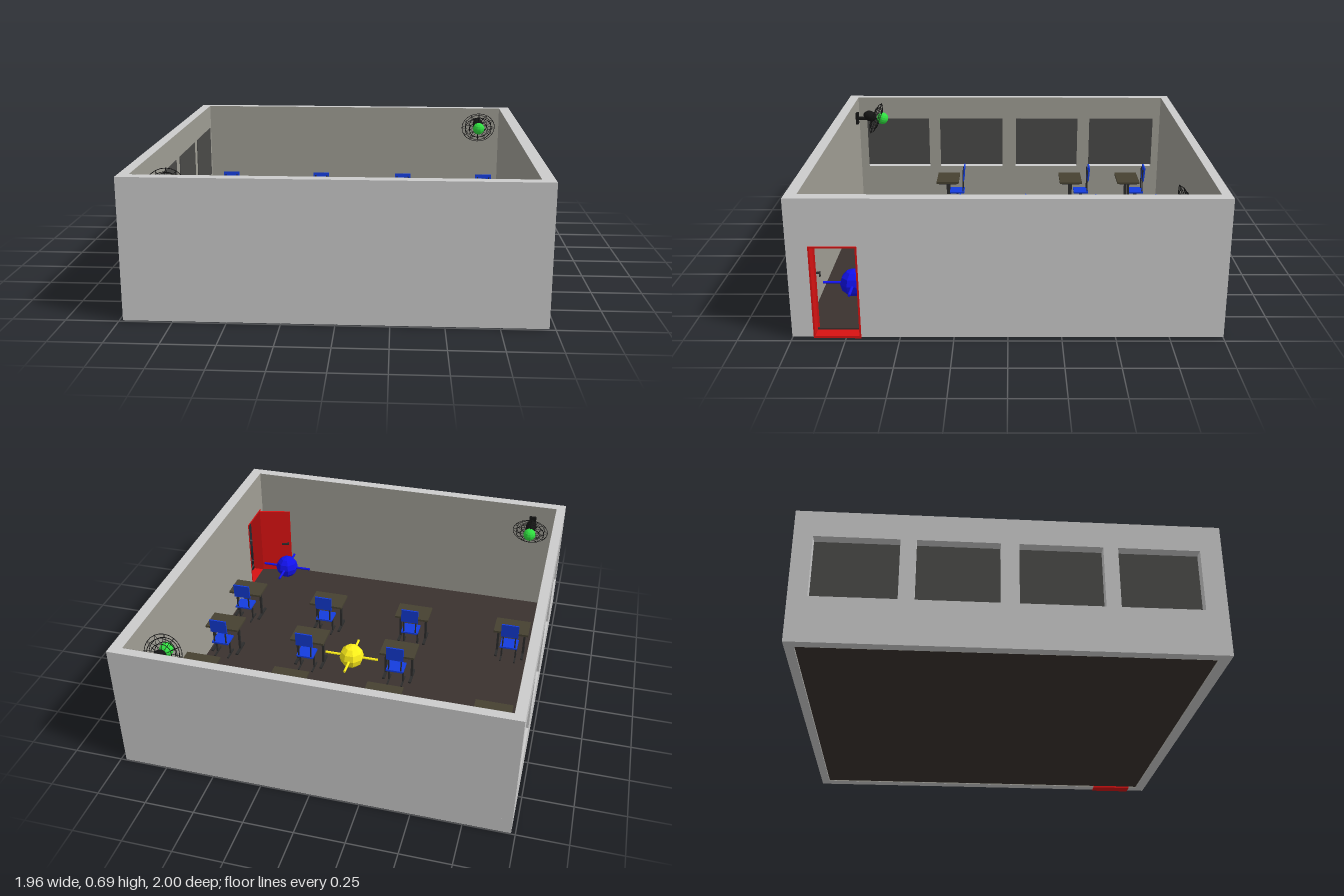
import * as THREE from 'three';

const mat = (color, extra = {}) => new THREE.MeshStandardMaterial({ color, ...extra });
const M = {
  wall: mat(0xcccccc),
  lining: mat(0xa09e95, { side: THREE.DoubleSide }),
  floor: mat(0x3a322f),
  glass: mat(0x4a4a48),
  red: mat(0xd81212),
  desk: mat(0x464131),
  metal: mat(0x2c2c2c),
  chair: mat(0x143dde),
  yellow: mat(0xfff01a, { flatShading: true }),
  blue: mat(0x1212ee, { flatShading: true }),
  green: mat(0x30e040, { flatShading: true }),
  black: mat(0x141414),
};

function add(parent, name, geometry, material, x = 0, y = 0, z = 0) {
  const mesh = new THREE.Mesh(geometry, material);
  mesh.name = name;
  mesh.position.set(x, y, z);
  parent.add(mesh);
  return mesh;
}
const box = (parent, name, material, w, h, d, x, y, z) =>
  add(parent, name, new THREE.BoxGeometry(w, h, d), material, x, y, z);

const X0 = -0.98, X1 = 0.97, IN_X0 = -0.93, IN_X1 = 0.91, IN_Z0 = -0.955, IN_Z1 = 0.945;
const BASE = 0.005, TOP = 0.685, H = TOP - BASE;
const WINDOWS = [[-0.91, -0.51], [-0.435, -0.045], [0.04, 0.435], [0.505, 0.895]];
const DOOR = { z0: 0.68, z1: 0.9, top: 0.455 };

function rectangle(Type, a, b, c, d) {
  const s = new Type();
  s.moveTo(a, c);
  s.lineTo(b, c);
  s.lineTo(b, d);
  s.lineTo(a, d);
  s.closePath();
  return s;
}

// A side wall drawn in the z-y plane, with a coloured inner face
function sideWall(room, name, shape, outerX, innerX, liningX) {
  const depth = Math.abs(outerX - innerX);
  const geometry = new THREE.ExtrudeGeometry(shape, { depth, bevelEnabled: false });
  add(room, name, geometry, M.wall, Math.max(outerX, innerX), 0, 0).rotation.y = -Math.PI / 2;
  add(room, name + 'Lining', new THREE.ShapeGeometry(shape), M.lining, liningX, 0, 0).rotation.y = -Math.PI / 2;
}

function makeRoom() {
  const room = new THREE.Group();
  room.name = 'room';
  const w = IN_X1 - IN_X0, cx = (IN_X1 + IN_X0) / 2, cy = (BASE + TOP) / 2;
  box(room, 'floor', M.floor, w, 0.01, IN_Z1 - IN_Z0, cx, 0.015, (IN_Z0 + IN_Z1) / 2);

  // Plain back and front walls
  for (const [name, outer, inner] of [['backWall', -1, IN_Z0], ['frontWall', 1, IN_Z1]]) {
    box(room, name, M.wall, w, H, Math.abs(outer - inner), cx, cy, (outer + inner) / 2);
    const face = inner - Math.sign(outer) * 0.001;
    add(room, name + 'Lining', new THREE.PlaneGeometry(w, H), M.lining, cx, cy, face);
  }

  // Window wall
  const windowShape = rectangle(THREE.Shape, -1, 1, BASE, TOP);
  for (const [a, b] of WINDOWS) {
    windowShape.holes.push(rectangle(THREE.Path, a, b, 0.235, 0.55));
    box(room, 'windowPane', M.glass, 0.006, 0.3, b - a, IN_X0 + 0.002, 0.4, (a + b) / 2);
  }
  sideWall(room, 'windowWall', windowShape, X0, IN_X0, IN_X0 + 0.001);

  // Door wall, outlined around the doorway
  const doorShape = new THREE.Shape();
  [[-1, BASE], [DOOR.z0, BASE], [DOOR.z0, DOOR.top], [DOOR.z1, DOOR.top], [DOOR.z1, BASE],
    [1, BASE], [1, TOP], [-1, TOP]].forEach(([z, y], i) => (i ? doorShape.lineTo(z, y) : doorShape.moveTo(z, y)));
  sideWall(room, 'doorWall', doorShape, X1, IN_X1, IN_X1 - 0.001);
  return room;
}

function makeDoor() {
  const door = new THREE.Group();
  door.name = 'door';
  // Frame lining the doorway
  const frame = rectangle(THREE.Shape, DOOR.z0, DOOR.z1, 0, DOOR.top + 0.003);
  frame.holes.push(rectangle(THREE.Path, DOOR.z0 + 0.008, DOOR.z1 - 0.008, 0.012, DOOR.top - 0.006));
  const geometry = new THREE.ExtrudeGeometry(frame, { depth: 0.068, bevelEnabled: false });
  add(door, 'doorFrame', geometry, M.red, 0.975, 0, 0).rotation.y = -Math.PI / 2;

  // Leaf swung open into the room
  const leaf = new THREE.Group();
  leaf.name = 'doorLeaf';
  leaf.position.set(IN_X1 - 0.003, 0, 0.888);
  leaf.rotation.y = 0.24;
  box(leaf, 'doorPanel', M.red, 0.19, 0.425, 0.01, -0.095, 0.235, 0);
  box(leaf, 'handleStem', M.metal, 0.008, 0.008, 0.022, -0.172, 0.225, -0.014);
  box(leaf, 'handleLever', M.metal, 0.045, 0.009, 0.008, -0.155, 0.225, -0.025);
  door.add(leaf);
  return door;
}

function makeDesk() {
  const desk = new THREE.Group();
  desk.name = 'desk';
  box(desk, 'deskTop', M.desk, 0.195, 0.012, 0.137, 0, 0.199, 0);
  box(desk, 'crossBar', M.metal, 0.15, 0.01, 0.008, 0, 0.17, 0);
  for (const s of [-1, 1]) {
    box(desk, 'deskLeg', M.metal, 0.012, 0.17, 0.014, s * 0.075, 0.11, 0);
    box(desk, 'deskFoot', M.metal, 0.014, 0.01, 0.12, s * 0.075, 0.026, 0);
    box(desk, 'deskBracket', M.metal, 0.012, 0.008, 0.11, s * 0.075, 0.189, 0);
  }
  return desk;
}

function makeChair() {
  const chair = new THREE.Group();
  chair.name = 'chair';
  box(chair, 'seat', M.chair, 0.098, 0.01, 0.09, 0, 0.12, 0);
  box(chair, 'backrest', M.chair, 0.098, 0.085, 0.008, 0, 0.238, -0.045).rotation.x = -0.08;
  for (const s of [-1, 1]) {
    box(chair, 'chairLeg', M.metal, 0.008, 0.1, 0.01, s * 0.04, 0.07, 0);
    box(chair, 'chairFoot', M.metal, 0.008, 0.008, 0.09, s * 0.04, 0.025, 0);
    box(chair, 'backPost', M.metal, 0.007, 0.15, 0.006, s * 0.035, 0.19, -0.038);
  }
  return chair;
}

// Faceted ball with four straight horizontal arms
function makeBall(name, material) {
  const ball = new THREE.Group();
  ball.name = name;
  add(ball, 'ballBody', new THREE.SphereGeometry(0.068, 8, 6), material).rotation.y = Math.PI / 8;
  for (const turn of [0, Math.PI / 2]) {
    const bar = add(ball, 'armBar', new THREE.CylinderGeometry(0.007, 0.007, 0.3, 8), material);
    bar.rotation.set(Math.PI / 2, 0, turn);
  }
  return ball;
}

// Wall fan facing +z: mount, motor, wire cage and hub, tilted downwards
function makeFan() {
  const fan = new THREE.Group();
  fan.name = 'wallFan';
  box(fan, 'wallMount', M.black, 0.04, 0.07, 0.015, 0, 0, -0.117);
  add(fan, 'mountArm', new THREE.CylinderGeometry(0.012, 0.012, 0.06, 8), M.black, 0, 0, -0.085).rotation.x = Math.PI / 2;
  const head = new THREE.Group();
  head.name = 'fanHead';
  head.rotation.x = 0.38;
  fan.add(head);
  add(head, 'motor', new THREE.SphereGeometry(0.032, 12, 8), M.black, 0, 0, -0.04).scale.z = 1.3;
  for (const [r, z] of [[0.1, 0], [0.08, 0.014], [0.08, -0.014], [0.055, 0.022], [0.055, -0.022]]) {
    add(head, 'cageRing', new THREE.TorusGeometry(r, 0.0018, 4, 24), M.black, 0, 0, z);
  }
  for (let i = 0; i < 12; i++) {
    const a = (i / 12) * Math.PI * 2, c = Math.cos(a), s = Math.sin(a);
    const points = [[0.02, 0.026], [0.08, 0.014], [0.1, 0], [0.08, -0.014], [0.02, -0.026]]
      .map(([r, z]) => new THREE.Vector3(r * c, r * s, z));
    add(head, 'cageWire', new THREE.TubeGeometry(new THREE.CatmullRomCurve3(points), 10, 0.0013, 4), M.black);
  }
  add(head, 'hub', new THREE.SphereGeometry(0.036, 10, 8), M.green, 0, 0.015, 0.036);
  return fan;
}

export function createModel() {
  const model = new THREE.Group();
  model.name = 'classroom';
  model.add(makeRoom(), makeDoor());

  // Desks with chairs; one place in the third row stays empty
  const rows = [[-0.745, -0.8], [-0.387, -0.455], [0.008, -0.05], [0.38, 0.325]];
  rows.forEach(([deskZ, chairZ], row) => {
    [-0.788, -0.212, 0.305, 0.812].forEach((x, column) => {
      if (row === 2 && column === 0) return;
      const desk = makeDesk(), chair = makeChair();
      desk.position.set(x, 0, deskZ);
      chair.position.set(x + 0.003, 0, chairZ);
      model.add(desk, chair);
    });
  });

  const yellowBall = makeBall('yellowBall', M.yellow);
  yellowBall.position.set(0.04, 0.165, -0.073);
  const blueBall = makeBall('blueBall', M.blue);
  blueBall.position.set(0.692, 0.155, 0.75);
  model.add(yellowBall, blueBall);

  // Fans high on the back and front walls
  const backFan = makeFan();
  backFan.position.set(0.772, 0.585, -0.83);
  const frontFan = makeFan();
  frontFan.position.set(-0.8, 0.585, 0.82);
  frontFan.rotation.y = Math.PI;
  model.add(backFan, frontFan);
  return model;
}
